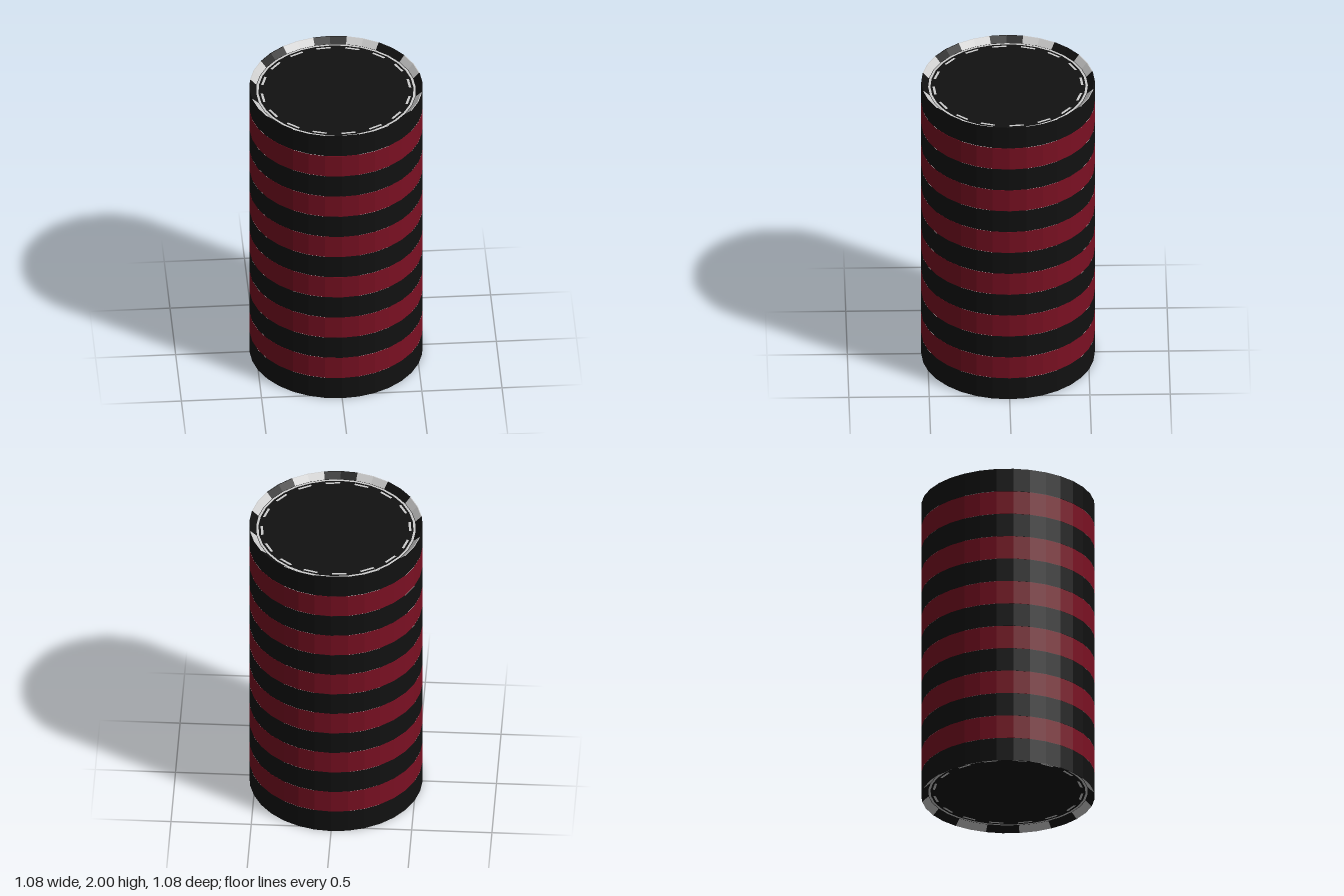
import * as THREE from 'three';
import { mergeGeometries } from 'three/addons/utils/BufferGeometryUtils.js';

const COUNT = 13;            // chips in the stack
const PITCH = 2 / COUNT;     // height of one chip
const GAP = 0.001;           // hairline seam between chips
const R = 0.54;              // outer radius
const STEP = Math.PI / 16;   // one of 32 sides
const FACE = 0.034;          // depth of the recessed face

// Surface swept round the y axis over `sides` of the 32 sides
function sweep(profile, start = 0, sides = 32) {
  const points = profile.map(([r, y]) => new THREE.Vector2(r, y));
  return new THREE.LatheGeometry(points, sides, start * STEP, sides * STEP);
}

// All bands of one chip face, listed from the rim to the centre
function faceParts(top) {
  const h = PITCH - GAP;
  const band = (profile, start, sides) => {
    const p = profile.map(([r, d]) => [r, top ? h - d : d]);
    return sweep(top ? p : p.reverse(), start, sides);
  };
  const rim = [[R, 0], [0.535, 0], [0.5, FACE]];
  const body = [], marks = [];
  // Sloping rim, alternating in blocks of two sides
  for (let i = 0; i < 8; i++) {
    marks.push(band(rim, i * 4 + 1, 2));
    body.push(band(rim, i * 4 + 3, 2));
  }
  // Thin line, pale ring and plain ring
  body.push(band([[0.5, FACE], [0.497, FACE]]));
  marks.push(band([[0.497, FACE], [0.483, FACE]]));
  body.push(band([[0.483, FACE], [0.47, FACE]]));
  // Dashes
  for (let i = 0; i < 16; i++) {
    const dash = [[0.47, FACE], [0.455, FACE]];
    marks.push(band(dash, i * 2, 1));
    body.push(band(dash, i * 2 + 1, 1));
  }
  // Centre disc
  body.push(band([[0.455, FACE], [0, FACE]]));
  return { body, marks };
}

export function createModel() {
  const stack = new THREE.Group();
  stack.name = 'chipStack';

  const material = (color) => new THREE.MeshStandardMaterial({ color, flatShading: true });
  const black = material(0x111111);
  const red = material(0x7a1022);
  const grey = material(0xcccccc);

  const upper = faceParts(true);
  const lower = faceParts(false);
  const wall = sweep([[R, 0], [R, PITCH - GAP]]);
  const bodyGeometry = mergeGeometries([wall, ...upper.body, ...lower.body]);
  const markGeometry = mergeGeometries([...upper.marks, ...lower.marks]);

  // Black and red chips alternate, black at both ends
  for (let i = 0; i < COUNT; i++) {
    const chip = new THREE.Group();
    chip.name = i % 2 ? 'redChip' : 'blackChip';
    const body = new THREE.Mesh(bodyGeometry, i % 2 ? red : black);
    body.name = 'chipBody';
    const marks = new THREE.Mesh(markGeometry, grey);
    marks.name = 'chipMarkings';
    chip.add(body, marks);
    chip.position.y = i * PITCH + (i === COUNT - 1 ? GAP : 0);
    stack.add(chip);
  }
  return stack;
}
